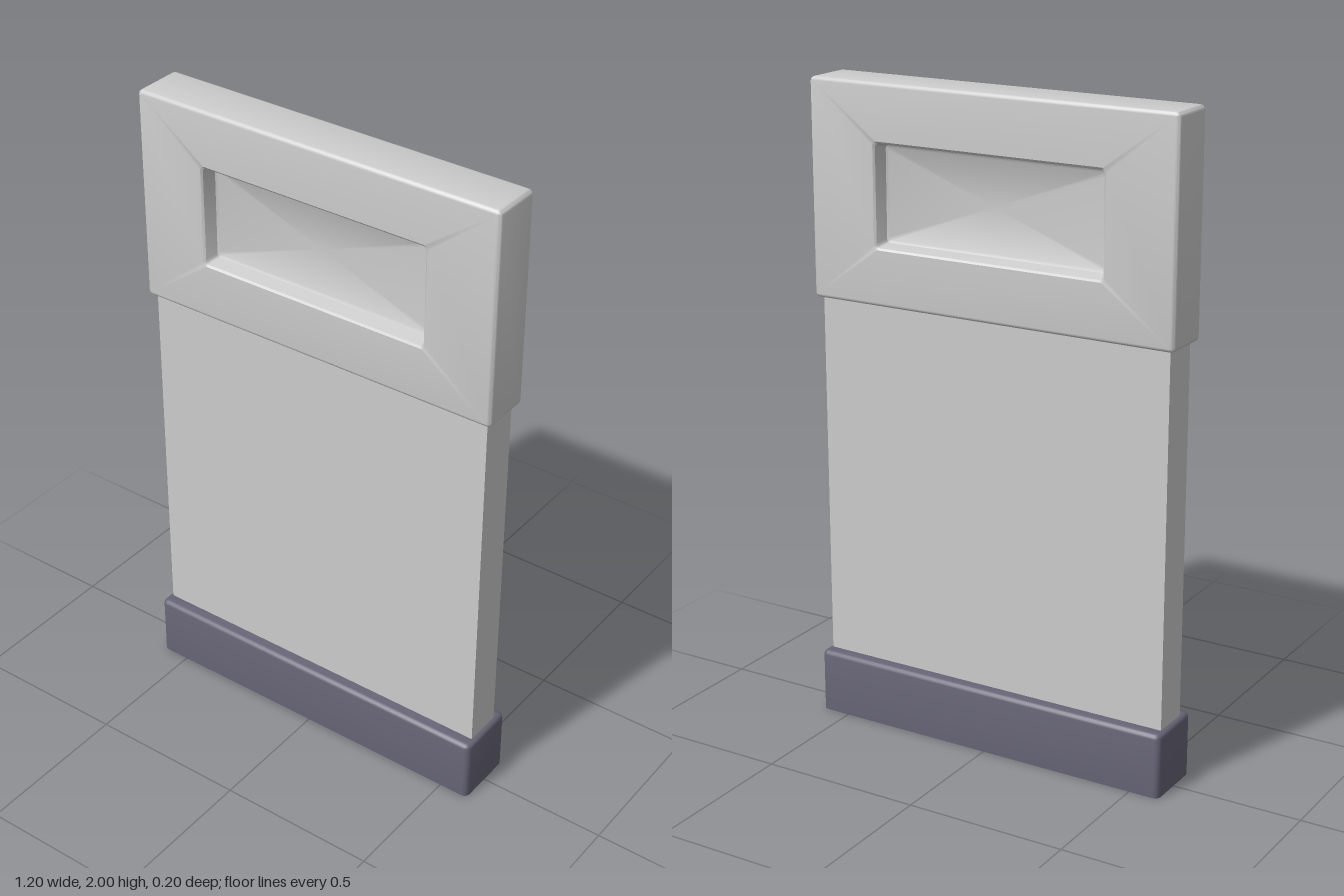
import * as THREE from 'three';
import { toCreasedNormals } from 'three/addons/utils/BufferGeometryUtils.js';

// Rounded rectangle outline, counter-clockwise, at height z
function ring(halfW, halfH, r, z, steps = 3) {
  const pts = [];
  const signs = [[1, 1], [-1, 1], [-1, -1], [1, -1]];
  signs.forEach(([sx, sy], c) => {
    for (let i = 0; i <= steps; i++) {
      const a = (c + i / steps) * Math.PI / 2;
      pts.push(new THREE.Vector3(
        sx * (halfW - r) + r * Math.cos(a),
        sy * (halfH - r) + r * Math.sin(a), z));
    }
  });
  return pts;
}

// Skin a list of rings, from -z to +z, skipping collapsed triangles
function loft(rings) {
  const pos = [];
  const tri = new THREE.Triangle();
  const add = (a, b, c) => {
    if (tri.set(a, b, c).getArea() > 1e-9) {
      for (const p of [a, b, c]) pos.push(p.x, p.y, p.z);
    }
  };
  for (let i = 0; i < rings.length - 1; i++) {
    const lo = rings[i], hi = rings[i + 1], n = lo.length;
    for (let j = 0; j < n; j++) {
      const k = (j + 1) % n;
      add(lo[j], lo[k], hi[k]);
      add(lo[j], hi[k], hi[j]);
    }
  }
  const geo = new THREE.BufferGeometry();
  geo.setAttribute('position', new THREE.Float32BufferAttribute(pos, 3));
  return toCreasedNormals(geo, 0.6);
}

// Rings of a quarter-round edge that ends flush at height z
function roundedEdge(halfW, halfH, b, z, r) {
  const rings = [];
  for (let i = 0; i <= 3; i++) {
    const a = i / 3 * Math.PI / 2;
    const inset = b * (1 - Math.cos(a));
    rings.push(ring(halfW - inset, halfH - inset, r - inset * 0.8, z - b + b * Math.sin(a)));
  }
  return rings;
}

export function createModel() {
  const group = new THREE.Group();
  const grey = new THREE.MeshStandardMaterial({ color: 0xcccccc });
  grey.name = 'light grey';
  const slate = new THREE.MeshStandardMaterial({ color: 0x666475 });
  slate.name = 'slate purple';

  const add = (name, geo, mat, y) => {
    const mesh = new THREE.Mesh(geo, mat);
    mesh.name = name;
    mesh.position.y = y;
    group.add(mesh);
    return mesh;
  };

  // Foot: sharp underside, rounded corners and top edge
  const foot = loft([
    ring(0, 0, 0, 0),
    ring(0.595, 0.1, 0.018, 0),
    ...roundedEdge(0.595, 0.1, 0.014, 0.2, 0.018),
    ring(0, 0, 0, 0.2),
  ]);
  foot.rotateX(-Math.PI / 2);
  add('foot', foot, slate, 0);

  // Plain upright slab
  add('panel', new THREE.BoxGeometry(1.16, 1.17, 0.12), grey, 0.775);

  // Head: rounded block with a sunken field on both faces
  const frontHalf = [
    ...roundedEdge(0.6, 0.33, 0.012, 0.08, 0.014),
    ring(0.382, 0.16, 0.014, 0.08),
    ring(0.376, 0.154, 0.012, 0.075),
    ring(0.366, 0.144, 0.01, 0.035),
    ring(0.358, 0.136, 0.008, 0.03),
    ring(0, 0, 0, 0.03),
  ];
  const backHalf = frontHalf.map(pts =>
    pts.map(p => new THREE.Vector3(p.x, p.y, -p.z))).reverse();
  add('head', loft([...backHalf, ...frontHalf]), grey, 1.67);

  return group;
}
